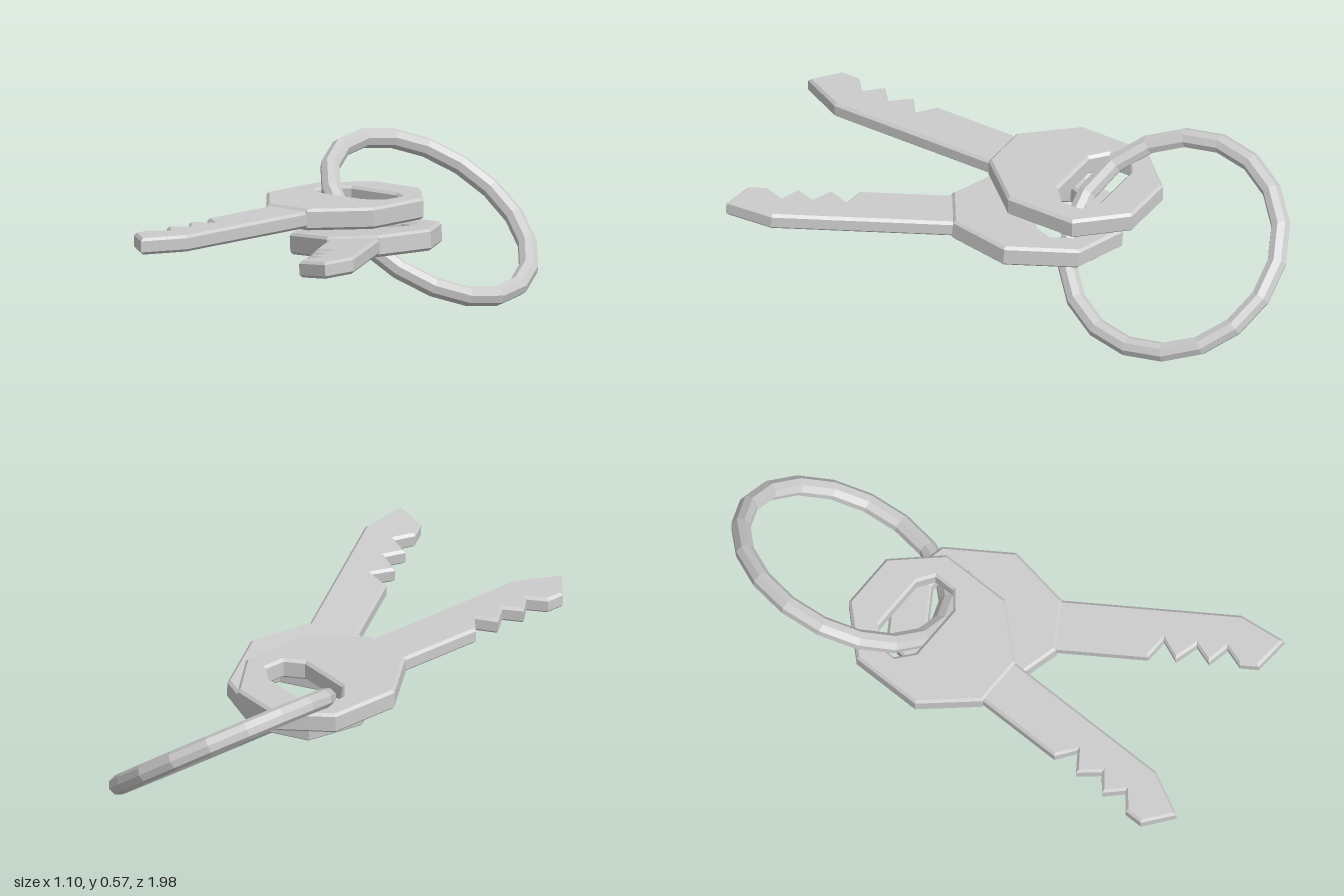
import * as THREE from 'three';

const material = new THREE.MeshStandardMaterial({ color: 0xcccccc, flatShading: true });
const toPoints = (list) => list.map(([x, y]) => new THREE.Vector2(x, y));

// Key outlines in (x, z), with the origin at the right shoulder of the blade
const headOutline = [[-0.2, -0.61], [0.01, -0.61], [0.16, -0.45], [0.16, -0.18],
  [0, 0], [-0.19, 0], [-0.35, -0.18], [-0.35, -0.45]];
const headHole = [[-0.2, -0.47], [0.01, -0.47], [0.07, -0.43], [0.07, -0.35],
  [0.01, -0.3], [-0.2, -0.3], [-0.26, -0.35], [-0.26, -0.43]];
const bladeOutline = [[0, -0.03], [0, 0.65], [-0.08, 0.81], [-0.185, 0.73], [-0.185, 0.66],
  [-0.125, 0.61], [-0.185, 0.55], [-0.125, 0.5], [-0.185, 0.43], [-0.115, 0.38],
  [-0.185, 0.33], [-0.185, -0.03]];

// Flat bevelled plate lying in the xz plane, centred on y = 0
function plate(name, outline, thickness, hole) {
  const bevel = 0.01;
  const shape = new THREE.Shape(toPoints(outline));
  if (hole) shape.holes.push(new THREE.Path(toPoints(hole)));
  const geometry = new THREE.ExtrudeGeometry(shape, {
    depth: thickness - 2 * bevel, bevelEnabled: true, bevelSegments: 1,
    bevelThickness: bevel, bevelSize: bevel, bevelOffset: -bevel,
  });
  geometry.translate(0, 0, bevel - thickness / 2).rotateX(Math.PI / 2);
  const mesh = new THREE.Mesh(geometry, material);
  mesh.name = name;
  return mesh;
}

function makeKey(name) {
  const key = new THREE.Group();
  key.name = name;
  key.add(plate('keyHead', headOutline, 0.078, headHole), plate('keyBlade', bladeOutline, 0.06));
  return key;
}

export function createModel() {
  const model = new THREE.Group();
  model.name = 'keysOnRing';

  // Level upper key
  const upperKey = makeKey('upperKey');
  upperKey.position.set(-0.13, 0.378, 0.18);
  model.add(upperKey);

  // Lower key, turned sideways and slightly tilted
  const lowerKey = makeKey('lowerKey');
  lowerKey.position.set(0.18, 0.313, 0.14);
  const up = new THREE.Vector3(0, 1, 0);
  const tilted = new THREE.Vector3(-0.08, 1, -0.027).normalize();
  lowerKey.quaternion.setFromUnitVectors(up, tilted)
    .multiply(new THREE.Quaternion().setFromAxisAngle(up, THREE.MathUtils.degToRad(33)));
  model.add(lowerKey);

  // Slanted ring through both key heads
  const ringGeometry = new THREE.TorusGeometry(0.405, 0.036, 8, 18);
  ringGeometry.rotateX(Math.PI / 2).rotateZ(THREE.MathUtils.degToRad(-38));
  const ring = new THREE.Mesh(ringGeometry, material);
  ring.name = 'ring';
  ring.position.set(-0.195, 0.284, -0.56);
  model.add(ring);

  return model;
}
